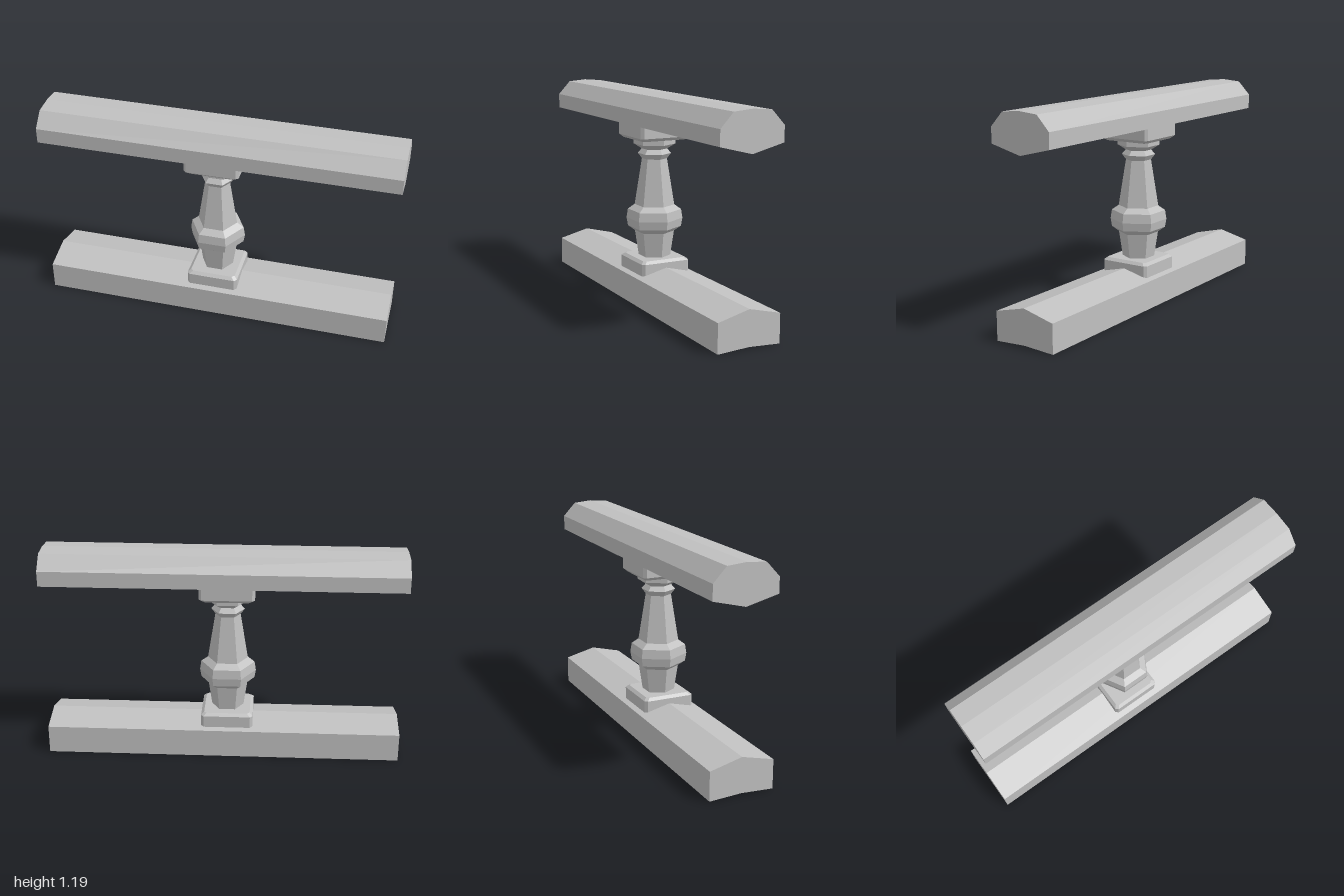
import * as THREE from 'three';
import { ConvexGeometry } from 'three/addons/geometries/ConvexGeometry.js';

const LENGTH = 2;
const POST_X = -0.022;

export function createModel() {
  const model = new THREE.Group();
  model.name = 'balustrade';
  const stone = new THREE.MeshStandardMaterial({ color: 0xc0c0c0, flatShading: true });
  stone.name = 'grey stone';

  const add = (name, geometry, x = 0) => {
    const mesh = new THREE.Mesh(geometry, stone);
    mesh.name = name;
    mesh.position.x = x;
    model.add(mesh);
  };

  // Rail: a [z, y] cross-section swept along x
  const rail = (points) => {
    const shape = new THREE.Shape(points.map(([z, y]) => new THREE.Vector2(z, y)));
    return new THREE.ExtrudeGeometry(shape, { depth: LENGTH, bevelEnabled: false })
      .translate(0, 0, -LENGTH / 2)
      .rotateY(Math.PI / 2);
  };

  // Square block with cut corners; each level is [y, half width in x, half width in z]
  const block = (levels, cut = 0.015) => {
    const points = [];
    for (const [y, w, d] of levels) {
      for (const sx of [-1, 1]) {
        for (const sz of [-1, 1]) {
          points.push(new THREE.Vector3(sx * w, y, sz * (d - cut)));
          points.push(new THREE.Vector3(sx * (w - cut), y, sz * d));
        }
      }
    }
    return new ConvexGeometry(points);
  };

  // Bottom rail with a ridged top and slightly hollow underside
  add('bottomRail', rail([
    [-0.18, 0], [0, 0.01], [0.18, 0], [0.18, 0.16], [0, 0.205], [-0.18, 0.16],
  ]));

  // Handrail with bevelled top and an underside meeting in a keel
  add('handrail', rail([
    [0, 0.97], [0.18, 1.015], [0.18, 1.1], [0.107, 1.178],
    [0, 1.187], [-0.107, 1.178], [-0.18, 1.1], [-0.18, 1.015],
  ]));

  // Foot and cap blocks
  add('footBlock', block([[0.16, 0.147, 0.147], [0.235, 0.147, 0.147], [0.25, 0.13, 0.13]]), POST_X);
  add('capBlock', block([[0.925, 0.132, 0.135], [0.943, 0.153, 0.155], [1.009, 0.153, 0.155]]), POST_X);

  // Six-sided baluster, profile as [radius, y] from foot to cap
  const profile = [
    [0.09, 0.245], [0.112, 0.392], [0.152, 0.42], [0.16, 0.467], [0.152, 0.518],
    [0.113, 0.545], [0.071, 0.81], [0.094, 0.84], [0.072, 0.866], [0.118, 0.894], [0.118, 0.93],
  ].map(([r, y]) => new THREE.Vector2(r, y));
  add('baluster', new THREE.LatheGeometry(profile, 6, Math.PI / 6), POST_X);

  return model;
}
